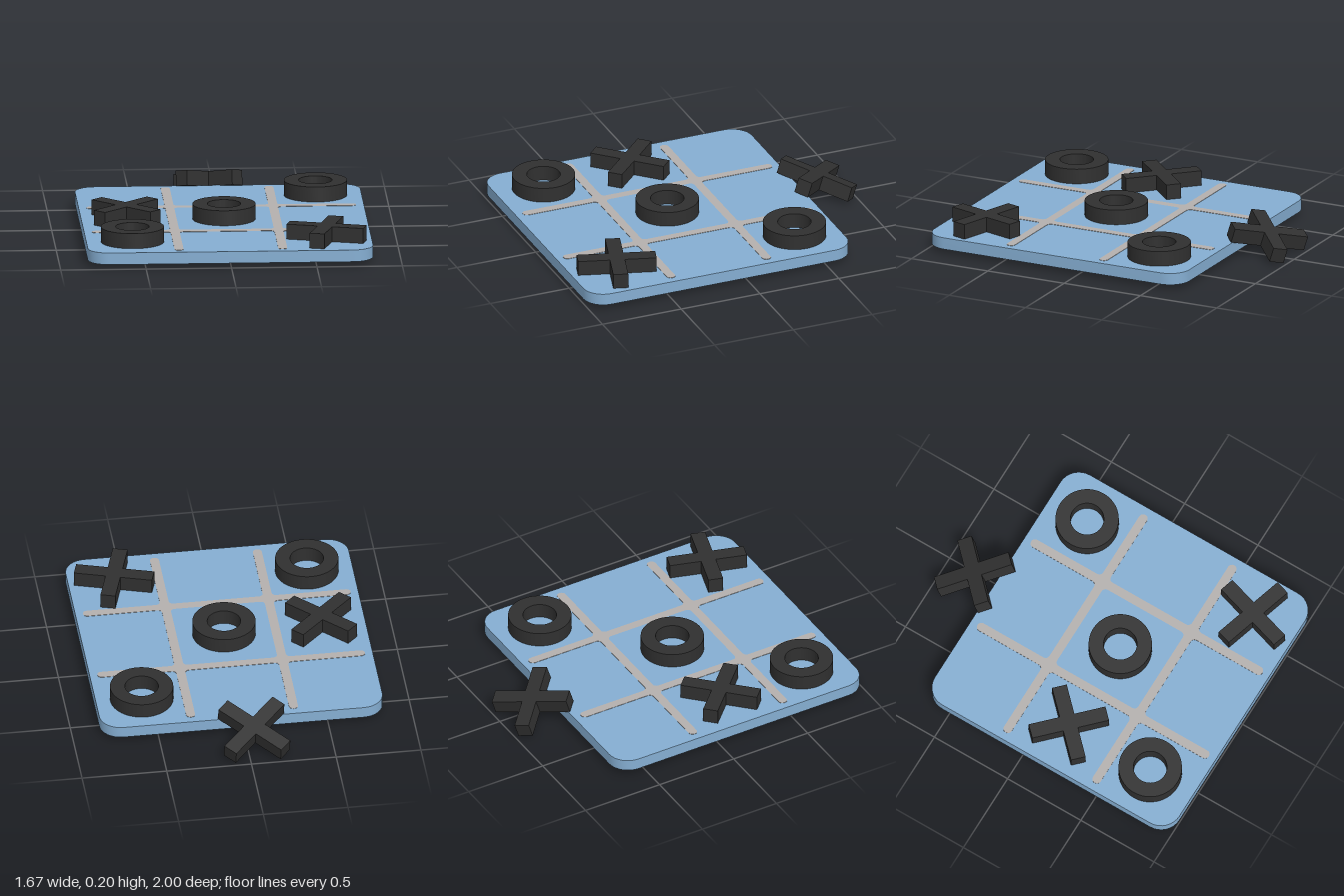
import * as THREE from 'three';
import { toCreasedNormals } from 'three/addons/utils/BufferGeometryUtils.js';

const BOARD_TOP = 0.1, BOARD_Z = 0.163, PIECE_HEIGHT = 0.09;

// Closed outline through points, with every corner rounded by radius r
function roundedOutline(path, points, r) {
  const v = points.map(([x, y]) => new THREE.Vector2(x, y));
  v.forEach((p, i) => {
    const toward = (q, d) => q.clone().sub(p).setLength(d).add(p);
    const prev = v.at(i - 1), next = v[(i + 1) % v.length];
    const a = toward(prev, r), b = toward(next, r);
    const c = toward(prev, r * 0.448), d = toward(next, r * 0.448);
    if (i === 0) path.moveTo(a.x, a.y);
    else path.lineTo(a.x, a.y);
    path.bezierCurveTo(c.x, c.y, d.x, d.y, b.x, b.y);
  });
  path.closePath();
  return path;
}

// Repeats a list of points in four quarter turns
function fourFold(points) {
  const turn = (n) => ([x, y]) => [[x, y], [y, -x], [-x, -y], [-y, x]][n];
  return [0, 1, 2, 3].flatMap((n) => points.map(turn(n)));
}

// Flat slab lying in the xz plane, rising from y = 0
function slab(shape, height, curveSegments) {
  const g = new THREE.ExtrudeGeometry(shape, { depth: height, bevelEnabled: false, curveSegments });
  g.rotateX(-Math.PI / 2);
  return toCreasedNormals(g, 0.5);
}

export function createModel() {
  const model = new THREE.Group();
  const blue = new THREE.MeshStandardMaterial({ color: 0x85aed2 });
  const grey = new THREE.MeshStandardMaterial({ color: 0xb4b0ae });
  const black = new THREE.MeshStandardMaterial({ color: 0x303030 });

  function add(name, geometry, material, x, y, z) {
    const mesh = new THREE.Mesh(geometry, material);
    mesh.name = name;
    mesh.position.set(x, y, z);
    model.add(mesh);
    return mesh;
  }

  // Board with rounded corners
  const boardShape = roundedOutline(new THREE.Shape(), fourFold([[0.835, 0.835]]), 0.125);
  add('board', slab(boardShape, 0.07, 8), blue, 0, BOARD_TOP - 0.07, BOARD_Z);

  // Grid lines: one crossed outline with a square middle opening
  const a = 0.277, b = 0.33, e = 0.79;
  const gridShape = roundedOutline(new THREE.Shape(),
    fourFold([[a, b], [a, e], [b, e], [b, b], [e, b], [e, a], [b, a]]), 0.025);
  gridShape.holes.push(roundedOutline(new THREE.Path(), fourFold([[a, a]]), 0.025));
  add('gridLines', slab(gridShape, 0.004, 4), grey, 0, BOARD_TOP - 0.002, BOARD_Z);

  // Ring pieces
  const ringShape = new THREE.Shape().absarc(0, 0, 0.185, 0, Math.PI * 2);
  ringShape.holes.push(new THREE.Path().absarc(0, 0, 0.098, 0, Math.PI * 2, true));
  const ring = slab(ringShape, PIECE_HEIGHT, 40);
  [[0.565, -0.403], [0, 0.165], [-0.565, 0.711]].forEach(([x, z], i) =>
    add(`ringPiece${i + 1}`, ring, black, x, BOARD_TOP, z));

  // Cross pieces, centred on their own height
  const w = 0.044, l = 0.231;
  const crossShape = new THREE.Shape(
    fourFold([[w, w], [l, w], [l, -w]]).map(([x, y]) => new THREE.Vector2(x, y)));
  const cross = slab(crossShape, PIECE_HEIGHT, 1).translate(0, -PIECE_HEIGHT / 2, 0);
  const crossY = BOARD_TOP + PIECE_HEIGHT / 2;
  add('crossPiece1', cross, black, -0.573, crossY, 0.16).rotation.y = Math.PI / 4;
  add('crossPiece2', cross, black, 0.57, crossY, 0.728).rotation.y = -0.295;
  // Third cross leans on the back edge of the board
  add('leaningCrossPiece', cross, black, -0.043, 0.103, -0.803)
    .rotation.set(-0.305, Math.PI / 4, 0);

  return model;
}
